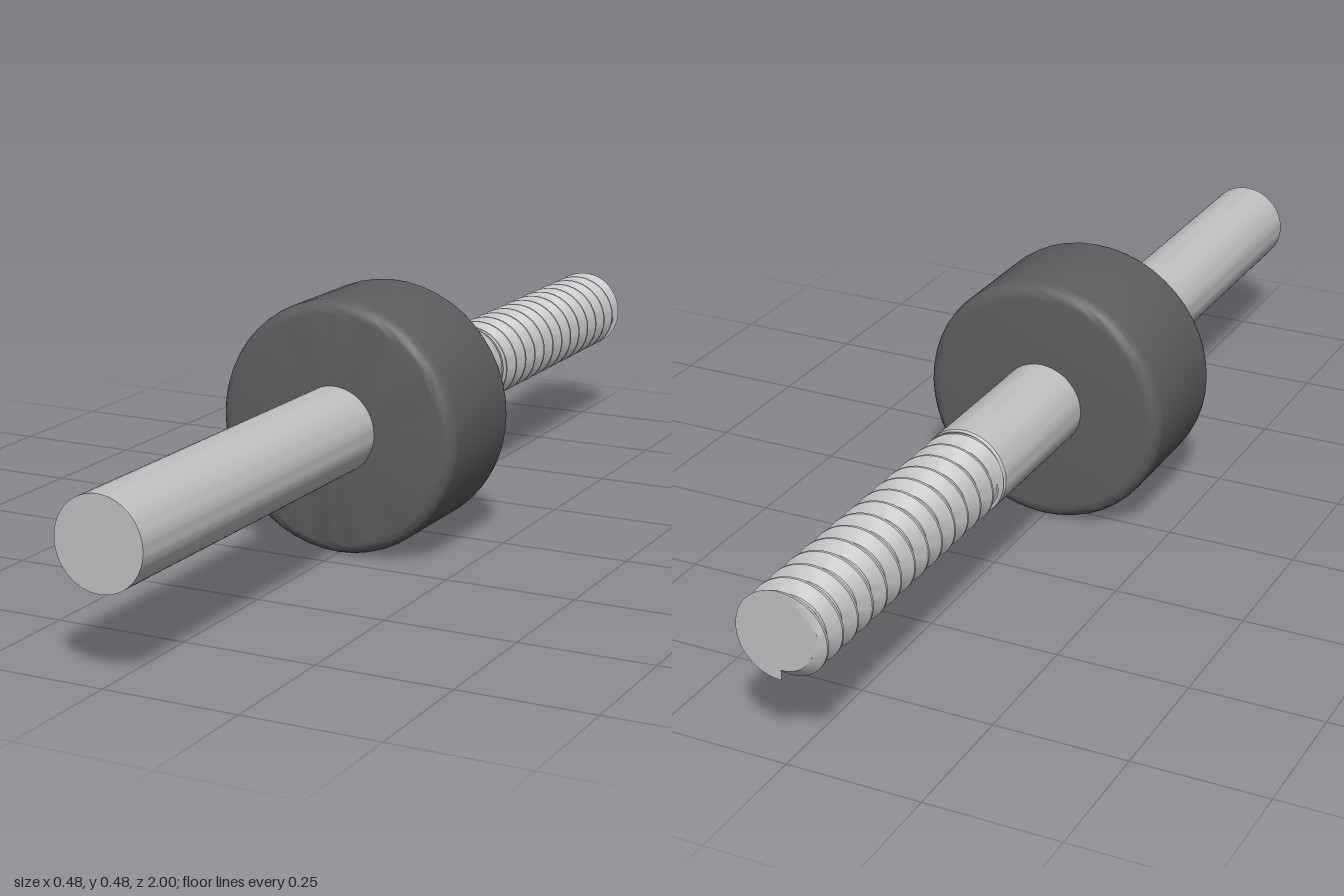
import * as THREE from 'three';
import { toCreasedNormals } from 'three/addons/utils/BufferGeometryUtils.js';

const AXIS_Y = 0.241;

// Turn a [radius, z] profile (ordered by rising z) around the z axis.
function turned(profile, segments) {
  const points = profile.map(([r, z]) => new THREE.Vector2(r, z));
  return new THREE.LatheGeometry(points, segments);
}

function part(name, geometry, material) {
  geometry.rotateX(Math.PI / 2);
  const mesh = new THREE.Mesh(toCreasedNormals(geometry, 0.6), material);
  mesh.name = name;
  mesh.position.y = AXIS_Y;
  return mesh;
}

// Helical V-thread: each turned column is slid along the axis, then cut flat at both ends.
function threadGeometry(z0, z1, root, crest, pitch, segments) {
  const shape = [[0, 0], [0.1, 0], [0.28, 0.5], [0.46, 1], [0.56, 1], [0.78, 0.5]];
  const profile = [];
  for (let z = z0 - pitch; z < z1; z += pitch) {
    for (const [t, h] of shape) profile.push([root + (crest - root) * h, z + t * pitch]);
  }
  const rows = profile.length;
  const geometry = turned(profile, segments);
  const pos = geometry.attributes.position;
  for (let i = 0; i < pos.count; i++) {
    const slide = pitch * Math.floor(i / rows) / segments;
    pos.setY(i, THREE.MathUtils.clamp(pos.getY(i) + slide, z0, z1));
  }
  return geometry;
}

export function createModel() {
  const steel = new THREE.MeshStandardMaterial({ color: 0xc0c1c3 });
  steel.name = 'steel';
  const rubber = new THREE.MeshStandardMaterial({ color: 0x5e5e61 });
  rubber.name = 'dark rubber';

  const group = new THREE.Group();
  group.name = 'threadedPin';

  // Smooth shaft with a small chamfer where the thread begins
  const shaft = turned([[0, -0.375], [0.072, -0.375], [0.083, -0.362], [0.083, 1], [0, 1]], 64);
  group.add(part('shaft', shaft, steel));

  // Threaded rear end and the flat core showing at its tip
  group.add(part('thread', threadGeometry(-1, -0.37, 0.063, 0.082, 0.048, 48), steel));
  const core = turned([[0, -1], [0.0632, -1], [0.0632, -0.37]], 48);
  group.add(part('threadCore', core, steel));

  // Roller with rounded rims
  const R = 0.241, back = -0.05, front = 0.21, fillet = 0.026;
  const rim = [[0, back]];
  for (const [z, start] of [[back + fillet, -Math.PI / 2], [front - fillet, 0]]) {
    for (let i = 0; i <= 6; i++) {
      const a = start + (i / 6) * Math.PI / 2;
      rim.push([R - fillet + fillet * Math.cos(a), z + fillet * Math.sin(a)]);
    }
  }
  rim.push([0, front]);
  group.add(part('roller', turned(rim, 48), rubber));

  return group;
}
